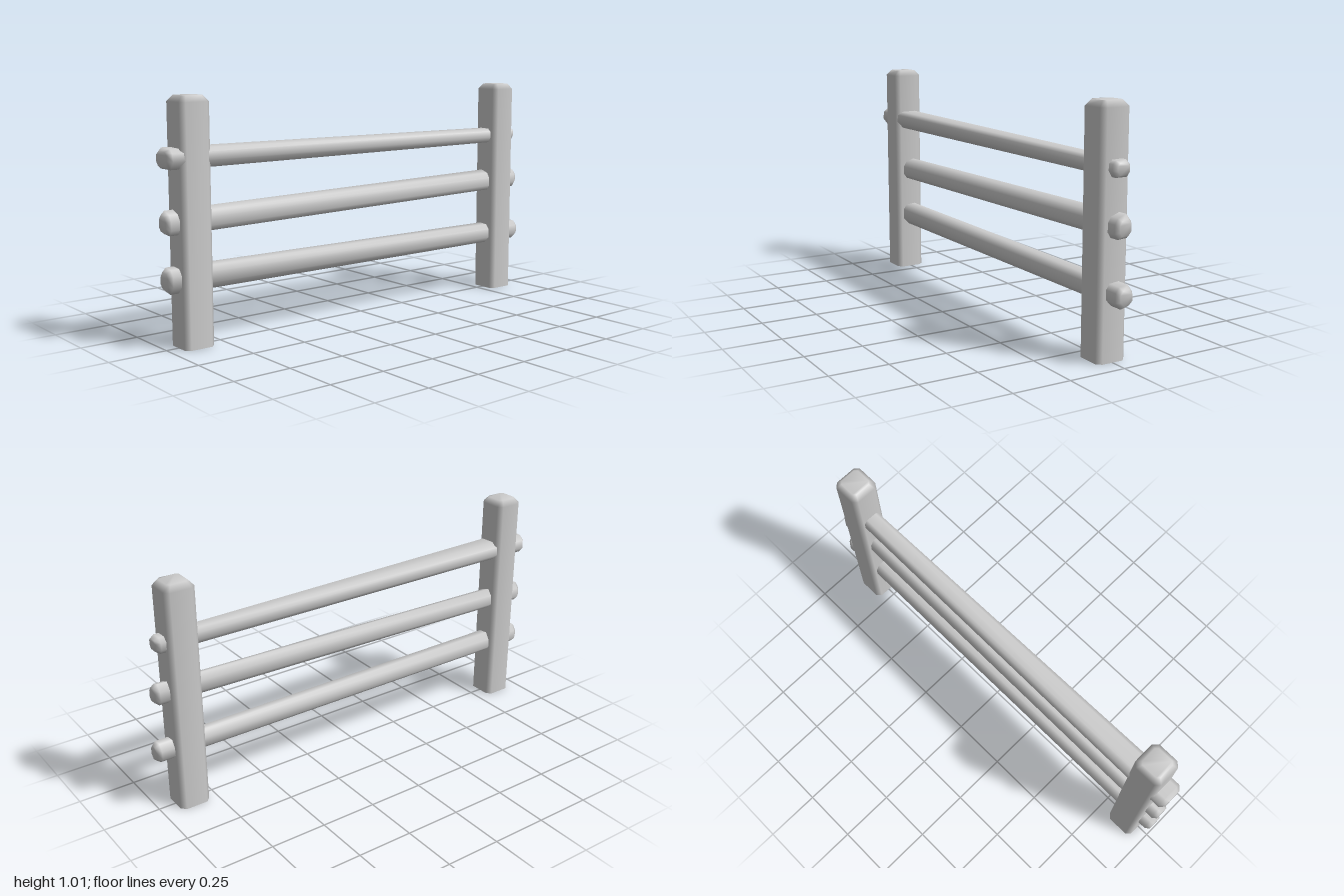
import * as THREE from 'three';

const material = new THREE.MeshStandardMaterial({ color: 0xcccccc, side: THREE.DoubleSide });

// Skin a list of equal-length counter-clockwise rings [{ z, pts }], ordered along +z.
function loft(rings, capStart) {
  const n = rings[0].pts.length;
  const pos = [], idx = [];
  for (const { z, pts } of rings) for (const [x, y] of pts) pos.push(x, y, z);
  for (let r = 0; r < rings.length - 1; r++) {
    for (let i = 0; i < n; i++) {
      const j = (i + 1) % n, a = r * n, b = a + n;
      idx.push(a + i, a + j, b + j, a + i, b + j, b + i);
    }
  }
  const last = (rings.length - 1) * n;
  for (let i = 1; i < n - 1; i++) {
    idx.push(last, last + i, last + i + 1);
    if (capStart) idx.push(0, i + 1, i);
  }
  const geo = new THREE.BufferGeometry();
  geo.setAttribute('position', new THREE.Float32BufferAttribute(pos, 3));
  geo.setIndex(idx);
  geo.computeVertexNormals();
  return geo;
}

// Square with cut corners
function cutSquare(h, c) {
  const k = h - c;
  return [[h, -k], [h, k], [k, h], [-k, h], [-h, k], [-h, -k], [-k, -h], [k, -h]];
}

function bounds(pts) {
  const xs = pts.map(p => p[0]), ys = pts.map(p => p[1]);
  return [Math.min(...xs), Math.max(...xs), Math.min(...ys), Math.max(...ys)];
}

// Stretch an outline to new bounds
function fit(pts, to) {
  const b = bounds(pts);
  return pts.map(([x, y]) => [
    THREE.MathUtils.mapLinear(x, b[0], b[1], to[0], to[1]),
    THREE.MathUtils.mapLinear(y, b[2], b[3], to[2], to[3]),
  ]);
}

// Shrink an outline about its middle
function shrink(pts, s) {
  const [x0, x1, y0, y1] = bounds(pts);
  const cx = (x0 + x1) / 2, cy = (y0 + y1) / 2;
  return pts.map(([x, y]) => [cx + (x - cx) * s, cy + (y - cy) * s]);
}

// Hewn rails: outline at the front end (clockwise from top left), bounds and z at the back end
const RAILS = [
  {
    name: 'topRail', back: [-0.042, 0.038, 0.73, 0.797], zBack: -0.965,
    front: [[-0.03, 0.812], [0.04, 0.81], [0.06, 0.793], [0.064, 0.76],
      [0.04, 0.728], [-0.038, 0.728], [-0.057, 0.75], [-0.057, 0.79]],
  },
  {
    name: 'middleRail', back: [-0.04, 0.036, 0.498, 0.594], zBack: -0.985,
    front: [[-0.02, 0.562], [0.02, 0.548], [0.035, 0.524], [0.035, 0.487],
      [0.02, 0.465], [-0.025, 0.468], [-0.045, 0.49], [-0.043, 0.533]],
  },
  {
    name: 'bottomRail', back: [-0.042, 0.038, 0.23, 0.323], zBack: -1,
    front: [[-0.022, 0.333], [0.022, 0.328], [0.04, 0.303], [0.04, 0.258],
      [0.013, 0.228], [-0.022, 0.237], [-0.045, 0.26], [-0.043, 0.301]],
  },
];

export function createModel() {
  const group = new THREE.Group();
  group.name = 'fence';

  // Posts: cut corners, bevelled top, open foot
  const postGeo = loft([
    { z: 0, pts: cutSquare(0.068, 0.02) },
    { z: 0.99, pts: cutSquare(0.068, 0.02) },
    { z: 1.015, pts: cutSquare(0.047, 0.012) },
  ], false);
  postGeo.rotateX(-Math.PI / 2);
  for (const [name, z] of [['frontPost', 0.876], ['backPost', -0.856]]) {
    const post = new THREE.Mesh(postGeo, material);
    post.name = name;
    post.position.z = z;
    group.add(post);
  }

  // Rails: tapering from front to back with bevelled ends
  for (const { name, front, back, zBack } of RAILS) {
    const f = [...front].reverse();
    const b = fit(f, back);
    const rail = new THREE.Mesh(loft([
      { z: zBack, pts: shrink(b, 0.7) },
      { z: zBack + 0.018, pts: b },
      { z: 0.982, pts: f },
      { z: 1, pts: shrink(f, 0.7) },
    ], true), material);
    rail.name = name;
    group.add(rail);
  }
  return group;
}
